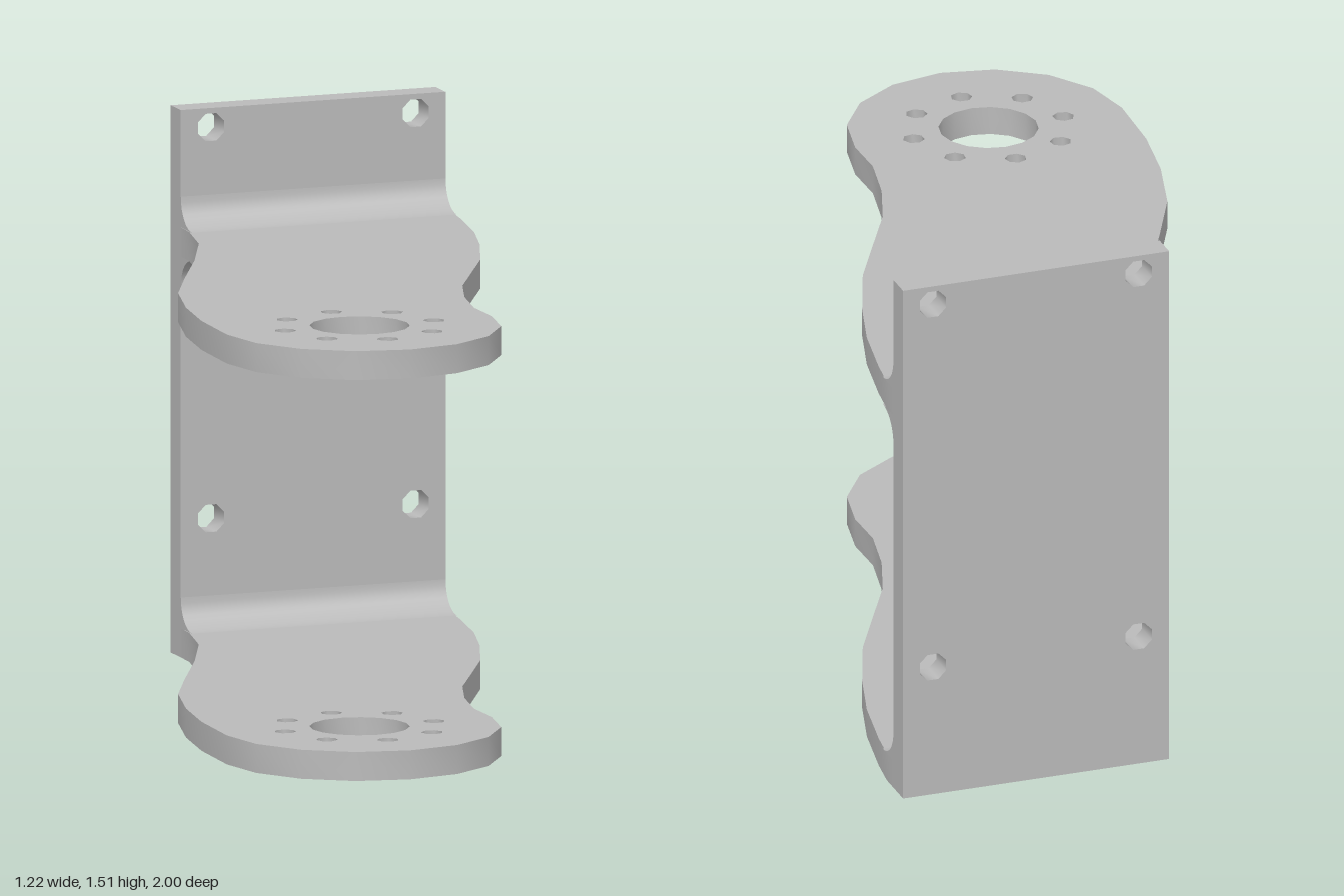
import * as THREE from 'three';
import { toCreasedNormals } from 'three/addons/utils/BufferGeometryUtils.js';

const LEFT = -0.16, RIGHT = 0.608, WALL_FRONT = -0.923, HEIGHT = 1.51;
const ARM_THICKNESS = 0.08, ARM_BASES = [0, 1.106], FILLET = 0.085;
const HUB = { x: -0.226, z: 0.615, radius: 0.385 };

const metal = new THREE.MeshStandardMaterial({ color: 0xbababa });
metal.name = 'grey metal';

// Polygonal hole in shape coordinates
function hole(x, y, radius, sides, phase = 0) {
  const points = [];
  for (let i = 0; i < sides; i++) {
    const a = phase - (i / sides) * Math.PI * 2;
    points.push(new THREE.Vector2(x + radius * Math.cos(a), y + radius * Math.sin(a)));
  }
  return new THREE.Path(points);
}

function extrude(shape, depth) {
  return new THREE.ExtrudeGeometry(shape, { depth, bevelEnabled: false });
}

function addPart(group, name, geometry) {
  const mesh = new THREE.Mesh(toCreasedNormals(geometry, 1.1), metal);
  mesh.name = name;
  group.add(mesh);
}

// S-curved arm with a round drilled end, lying flat with its underside at y = 0
function armGeometry() {
  const leftEdge = [[LEFT, WALL_FRONT], [-0.163, -0.85], [-0.2, -0.68], [-0.3, -0.45],
    [-0.42, -0.21], [-0.515, -0.01], [-0.572, 0.2], [-0.603, 0.4]];
  const rightEdge = [[0.157, 0.48], [0.19, 0.32], [0.245, 0.16], [0.33, 0], [0.43, -0.19],
    [0.508, -0.4], [0.56, -0.58], [0.595, -0.77], [RIGHT, -0.87], [RIGHT, WALL_FRONT]];
  const roundEnd = [];
  for (let i = 0; i <= 8; i++) {
    const a = Math.PI * (1 - i / 8);
    roundEnd.push([HUB.x + HUB.radius * Math.cos(a), HUB.z + HUB.radius * Math.sin(a)]);
  }
  const outline = [...leftEdge, ...roundEnd, ...rightEdge];
  const shape = new THREE.Shape(outline.map(([x, z]) => new THREE.Vector2(x, -z)));

  // Centre bore and ring of bolt holes
  shape.holes.push(hole(HUB.x, -HUB.z, 0.136, 16));
  for (let i = 0; i < 8; i++) {
    const a = (i / 8) * Math.PI * 2;
    shape.holes.push(hole(HUB.x + 0.216 * Math.cos(a), -HUB.z + 0.216 * Math.sin(a), 0.03, 7, a));
  }
  return extrude(shape, ARM_THICKNESS).rotateX(-Math.PI / 2);
}

// Upright plate with four mounting holes
function wallGeometry() {
  const shape = new THREE.Shape([[LEFT, 0], [RIGHT, 0], [RIGHT, HEIGHT], [LEFT, HEIGHT]]
    .map(([x, y]) => new THREE.Vector2(x, y)));
  for (const x of [-0.072, 0.522]) {
    for (const y of [0.378, 1.457]) shape.holes.push(hole(x, y, 0.041, 8, Math.PI / 8));
  }
  return extrude(shape, WALL_FRONT + 1).translate(0, 0, -1);
}

// Concave fillet between wall and arm; side is +1 above an arm, -1 below it
function filletGeometry(side) {
  const points = [new THREE.Vector2(0, 0)];
  for (let i = 0; i <= 8; i++) {
    const a = -Math.PI / 2 - (i / 8) * Math.PI / 2;
    points.push(new THREE.Vector2(FILLET * (1 + Math.cos(a)), side * FILLET * (1 + Math.sin(a))));
  }
  return extrude(new THREE.Shape(points), RIGHT - LEFT).rotateY(-Math.PI / 2);
}

export function createModel() {
  const model = new THREE.Group();
  model.name = 'bracket';

  addPart(model, 'backPlate', wallGeometry());

  ARM_BASES.forEach((base, i) => {
    const label = i === 0 ? 'lower' : 'upper';
    addPart(model, label + 'Arm', armGeometry().translate(0, base, 0));
    addPart(model, label + 'ArmTopFillet',
      filletGeometry(1).translate(RIGHT, base + ARM_THICKNESS, WALL_FRONT));
  });
  addPart(model, 'upperArmBottomFillet',
    filletGeometry(-1).translate(RIGHT, ARM_BASES[1], WALL_FRONT));

  return model;
}
